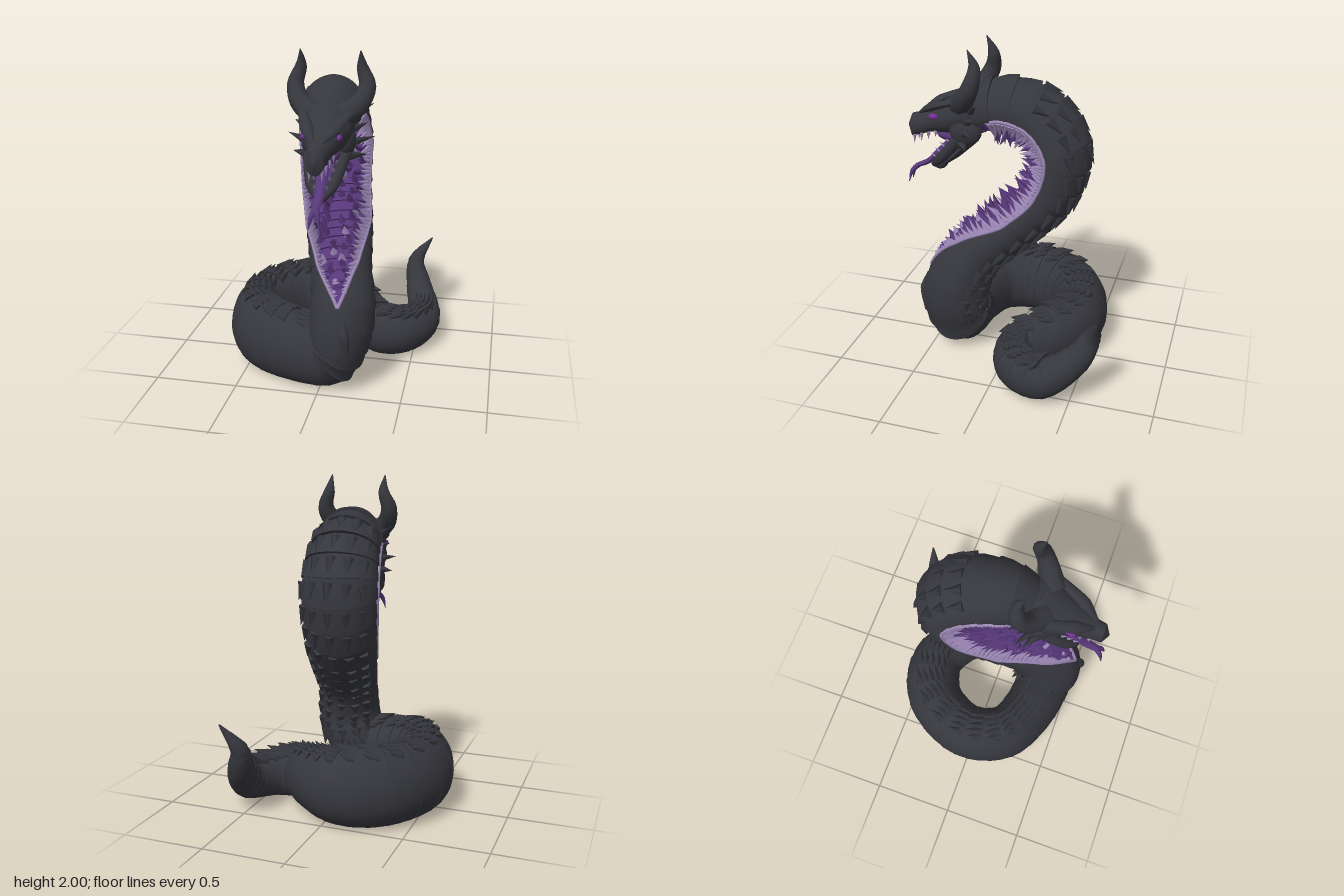
import * as THREE from 'three';
import { mergeGeometries, toCreasedNormals } from 'three/addons/utils/BufferGeometryUtils.js';

const V = (x, y, z) => new THREE.Vector3(x, y, z);
const path = pts => new THREE.CatmullRomCurve3(pts.map(p => V(...p)));
const mat = (name, color) => new THREE.MeshStandardMaterial({ name, color });
const { lerp, smoothstep } = THREE.MathUtils;
const HEAD_X = 0.025;

// Centre line of the body, from tail tip to head
const spine = path([
  [.56, .61, -.66], [.46, .45, -.61], [.49, .31, -.53], [.545, .17, -.33], [.44, .15, -.15],
  [.29, .16, -.12], [.11, .2, -.31], [-.08, .21, -.41], [-.33, .22, -.33], [-.48, .22, -.05],
  [-.41, .22, .19], [-.2, .21, .3], [.06, .23, .34], [.125, .46, .34], [.09, .7, .21],
  [.04, .9, 0], [-.015, 1.12, -.2], [-.03, 1.38, -.255], [-.02, 1.56, -.14], [.01, 1.62, .06],
  [.03, 1.53, .3]]);
const LAST = 20, NECK = 12.5, BELLY = 13.2;

// Girth keys: station, half width, back depth, belly depth, half-angle of the open belly
const GIRTH = [
  [0, .004, .004, .004, 0], [1, .055, .055, .055, 0], [3, .11, .11, .13, 0], [5, .135, .15, .16, 0],
  [7.5, .18, .24, .22, 0], [10.5, .17, .24, .22, 0], [12, .185, .2, .21, 0], [BELLY, .19, .19, .19, 0],
  [14, .18, .16, .17, .7], [15, .2, .16, .13, 1.25], [17, .225, .19, .12, 1.45],
  [19, .18, .18, .14, 1.4], [LAST, .11, .1, .08, .9]];
function girth(s) {
  const k = Math.max(1, GIRTH.findIndex(g => g[0] >= s));
  const a = GIRTH[k - 1], b = GIRTH[k], u = (s - a[0]) / (b[0] - a[0]);
  const [, side, back, belly, phi] = a.map((n, i) => lerp(n, b[i], u));
  return { side, back, belly, phi };
}

// Local frame at station s: the back faces up along the coil, then turns outward up the neck
function frame(s) {
  const T = spine.getTangent(s / LAST);
  const D = V(0, 1, 0).lerp(T.clone().cross(V(1, 0, 0)), smoothstep(s, 11.3, 13));
  D.addScaledVector(T, -D.dot(T)).normalize();
  return { P: spine.getPoint(s / LAST), T, D, S: D.clone().cross(T) };
}
// Point on the body skin; angle 0 is the belly line, PI the ridge of the back
function skin(s, a, scale = 1) {
  const f = frame(s), g = girth(s), c = Math.cos(a);
  const p = f.P.addScaledVector(f.D, -c * scale * (c > 0 ? g.belly : g.back))
    .addScaledVector(f.S, Math.sin(a) * g.side * scale);
  p.y = Math.max(0.005, p.y);
  return p;
}

// Grid surface from fn(row, column fraction)
function surface(rows, cols, fn) {
  const pos = [], idx = [];
  for (let i = 0; i < rows; i++) for (let j = 0; j < cols; j++) {
    pos.push(...fn(i, j / (cols - 1)).toArray());
    if (i < rows - 1 && j < cols - 1) {
      const a = i * cols + j, b = a + cols;
      idx.push(a, a + 1, b, a + 1, b + 1, b);
    }
  }
  const g = new THREE.BufferGeometry();
  g.setAttribute('position', new THREE.Float32BufferAttribute(pos, 3));
  g.setIndex(idx);
  return toCreasedNormals(g, 0.7);
}

// Tapered tube; flat squashes it
function taper(points, radii, flat = 1) {
  const curve = path(points), n = 16;
  return surface(n + 1, 11, (i, v) => {
    const t = i / n, q = t * (radii.length - 1), k = Math.min(radii.length - 2, Math.floor(q));
    const r = lerp(radii[k], radii[k + 1], q - k), a = v * Math.PI * 2;
    const T = curve.getTangent(t), S = V(1, 0, 0);
    S.addScaledVector(T, -T.x).normalize();
    return curve.getPoint(t).addScaledVector(S, Math.cos(a) * r)
      .addScaledVector(T.cross(S), Math.sin(a) * r * flat);
  });
}
function spike(p, dir, len, r) {
  const g = new THREE.ConeGeometry(r, len, 5).translate(0, len * 0.4, 0);
  g.applyQuaternion(new THREE.Quaternion().setFromUnitVectors(V(0, 1, 0), dir.normalize()));
  return g.translate(p.x, p.y, p.z);
}
// Ellipsoid with the same attributes as the lofted surfaces, so both can be merged
const ball = (x, y, z, rx, ry, rz) => new THREE.SphereGeometry(1, 14, 10)
  .scale(rx, ry, rz).translate(x, y, z).toNonIndexed().deleteAttribute('uv');

export function createModel() {
  const root = new THREE.Group();
  const dark = mat('charcoal scales', 0x36373d), purple = mat('deep purple flesh', 0x573779);
  const pale = mat('lavender teeth', 0x9c88b6), glow = mat('violet eyes', 0x7a2f9c);
  const add = (name, material, ...geos) => {
    const mesh = new THREE.Mesh(mergeGeometries(geos), material);
    mesh.name = name;
    root.add(mesh);
  };
  let seed = 7;
  const rand = () => (seed = (seed * 16807) % 2147483647) / 2147483647;

  // Overlapping bands of the scaly body, open along the belly
  const BAND = 0.4;
  add('scaledBody', dark, surface(LAST / BAND * 3, 33, (i, v) => {
    const u = (i % 3) / 2, s0 = Math.min(LAST, (Math.floor(i / 3) + u) * BAND);
    const phi = girth(s0).phi, a = phi + v * (Math.PI * 2 - 2 * phi);
    const back = (1 - Math.cos(a)) / 2, bold = s0 > NECK ? 1 : 0.45;
    const flare = 1 + (1 - u) * bold * (0.015 + 0.09 * back * back);
    const s = Math.max(0, s0 - 0.1 * bold * back ** 3);
    return skin(s, a, flare + 0.04 * Math.max(0, -Math.cos(a)) ** 8);
  }));

  // Swept-back scale tips along the ridge and flanks
  const tips = [];
  for (let s = 3; s < LAST - 1.4; s += BAND) {
    const f = frame(s), neck = s > NECK;
    for (let k = -2; k <= 2; k++) {
      const p = skin(s, Math.PI + k * (neck ? .45 : .2));
      const out = p.clone().sub(f.P).normalize();
      const dir = f.T.clone().negate().addScaledVector(out, neck ? .25 : .45);
      tips.push(spike(p, dir, .09 + .03 * rand(), .035));
    }
  }
  add('backScaleTips', dark, ...tips);

  // Folded belly
  const folds = 32;
  add('belly', purple, surface(folds * 2, 17, (i, v) => {
    const s = lerp(BELLY, LAST, (Math.floor(i / 2) + (i % 2)) / folds);
    return skin(s, (v * 2 - 1) * (girth(s).phi + .02), i % 2 ? 0.95 : 1.04);
  }));

  // Rim, teeth and flesh barbs of the belly
  const rims = [], teeth = [], barbs = [];
  for (const side of [-1, 1]) {
    const line = [];
    for (let s = BELLY; s <= LAST - .7; s += 0.2) line.push(skin(s, side * girth(s).phi, 1.015));
    rims.push(new THREE.TubeGeometry(new THREE.CatmullRomCurve3(line), 90, .011, 6));
    for (let s = BELLY + .25; s < LAST - .7; s += 0.1) {
      const { T, D, S } = frame(s), phi = girth(s).phi, size = Math.min(1, phi);
      const inward = D.clone().negate().addScaledVector(S, -side * .45).addScaledVector(T, .5 * (rand() - .5));
      teeth.push(spike(skin(s, side * phi * .9, .98), inward, (.07 + .07 * rand()) * size, .02));
      teeth.push(spike(skin(s + .05, side * phi * .97), inward, .04, .012));
      const up = D.clone().negate().addScaledVector(T, .9 * (rand() - .3));
      const row = rand() < .2 ? teeth : barbs;
      row.push(spike(skin(s, side * phi * (.08 + .62 * rand()), .97), up, (.06 + .05 * rand()) * size, .028));
    }
  }
  add('bellyRim', pale, ...rims);
  add('bellyTeeth', pale, ...teeth);
  add('bellyBarbs', purple, ...barbs);
  add('bellyTip', dark, taper([[.15, .53, .5], [.17, .42, .535], [.185, .27, .525]], [.02, .03, .012]));

  // Skull lofted from back to snout: z, top, bottom, half width
  const skull = [
    [.1, 1.66, 1.58, .02], [.13, 1.72, 1.52, .12], [.24, 1.73, 1.47, .15], [.34, 1.69, 1.45, .14],
    [.49, 1.585, 1.44, .078], [.55, 1.555, 1.42, .06], [.62, 1.54, 1.395, .05], [.65, 1.47, 1.46, .004]];
  add('skull', dark, surface(skull.length, 21, (i, v) => {
    const [z, top, bot, w] = skull[i], a = v * Math.PI * 2, c = Math.cos(a);
    return V(HEAD_X + Math.sign(c) * Math.abs(c) ** .85 * w, lerp(bot, top, (1 + Math.sin(a)) / 2), z);
  }));

  // Paired head parts
  const horns = [], brows = [], cheeks = [], frills = [], eyes = [], fangs = [], jaw = [], tongue = [];
  for (const s of [-1, 1]) {
    const at = (x, y, z) => [HEAD_X + s * x, y, z];
    horns.push(taper([at(.08, 1.65, .29), at(.17, 1.71, .23), at(.205, 1.8, .18), at(.175, 1.9, .165),
      at(.17, 2, .205)], [.07, .058, .05, .034, .002]));
    brows.push(taper([at(.025, 1.56, .56), at(.075, 1.615, .47), at(.16, 1.7, .24)], [.012, .038, .02], .7));
    cheeks.push(ball(...at(.105, 1.5, .25), .05, .09, .1));
    eyes.push(ball(...at(.1, 1.565, .45), .014, .017, .03));
    jaw.push(taper([at(.11, 1.48, .26), at(.06, 1.29, .43), at(.015, 1.23, .49)], [.04, .034, .02]));
    tongue.push(taper([at(0, 1.205, .6), at(.018, 1.17, .635), at(.032, 1.1, .655)], [.018, .014, .002]));
    for (let k = 0; k < 4; k++) {
      frills.push(spike(V(...at(.125, 1.42 + .07 * k, .27 - .02 * k)), V(s, .2 * k, -.6), k % 2 ? .17 : .12, .032));
      fangs.push(spike(V(...at(.035 + .011 * k, 1.41 + .017 * k, .6 - .05 * k)), V(0, -1, .1), .06 - .006 * k, .011));
      fangs.push(spike(V(...at(.07 - .012 * k, 1.41 - .042 * k, .37 + .034 * k)), V(0, .6, .7), .045, .009));
    }
  }
  add('horns', dark, ...horns);
  add('brows', dark, ...brows);
  add('cheeks', dark, ...cheeks);
  add('cheekFrills', dark, ...frills);
  add('eyes', glow, ...eyes);
  add('fangs', pale, ...fangs);

  // Open lower jaw, mouth lining and forked tongue
  const mid = (y, z) => [HEAD_X, y, z];
  add('lowerJaw', dark, ...jaw, ball(...mid(1.235, .455), .045, .035, .045),
    taper([mid(1.42, .24), mid(1.32, .34), mid(1.22, .45)], [.1, .08, .03], .35));
  add('mouthLining', purple, ball(...mid(1.44, .34), .085, .05, .13),
    taper([mid(1.43, .29), mid(1.35, .365), mid(1.26, .455)], [.085, .07, .03], .3));
  add('tongue', purple, ...tongue,
    taper([mid(1.42, .35), mid(1.31, .46), mid(1.24, .53), mid(1.2, .61)], [.035, .034, .028, .022], .6));
  return root;
}
